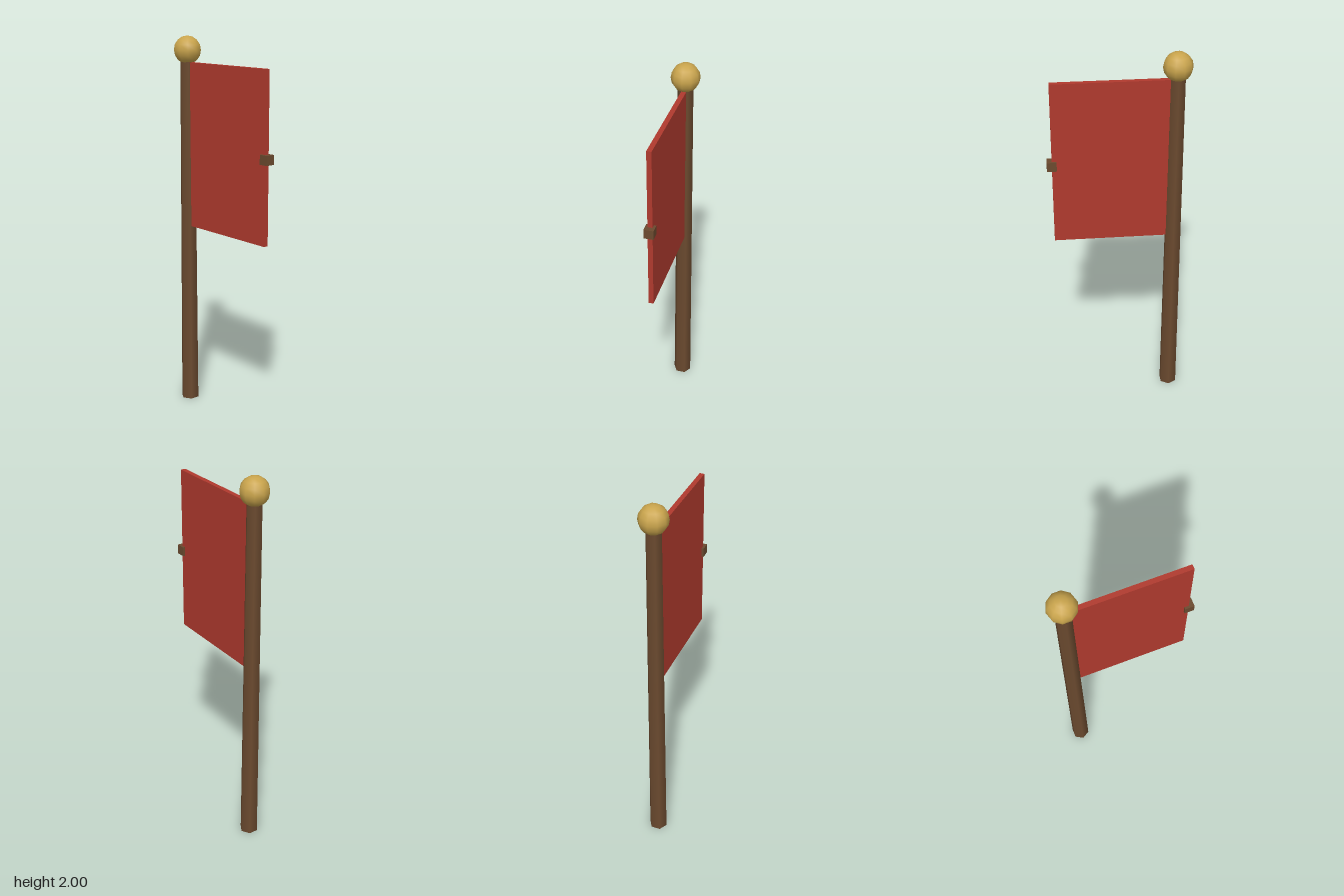
import * as THREE from 'three';

const material = (name, color) => {
  const m = new THREE.MeshStandardMaterial({ color });
  m.name = name;
  return m;
};

export function createModel() {
  const wood = material('wood', 0x6b4a2f);
  const cloth = material('red cloth', 0xb03a2e);
  const gold = material('gold', 0xc9a44c);

  const model = new THREE.Group();
  model.name = 'flag';
  const add = (name, geometry, mat, x, y, z = 0) => {
    const mesh = new THREE.Mesh(geometry, mat);
    mesh.name = name;
    mesh.position.set(x, y, z);
    model.add(mesh);
  };

  const poleX = -0.284, poleHeight = 1.88;

  // Tapered six-sided pole with a ball on top
  add('pole', new THREE.CylinderGeometry(0.04, 0.0485, poleHeight, 6), wood, poleX, poleHeight / 2);
  add('finial', new THREE.SphereGeometry(0.073, 10, 8), gold, poleX, 1.927);

  // Stiff cloth panel, its inner edge sunk into the pole
  add('banner', new THREE.BoxGeometry(0.6, 0.87, 0.025), cloth, 0.03, 1.43);

  // Small block on the free edge
  add('edgeBlock', new THREE.BoxGeometry(0.049, 0.049, 0.049), wood, 0.331, 1.43);

  return model;
}
